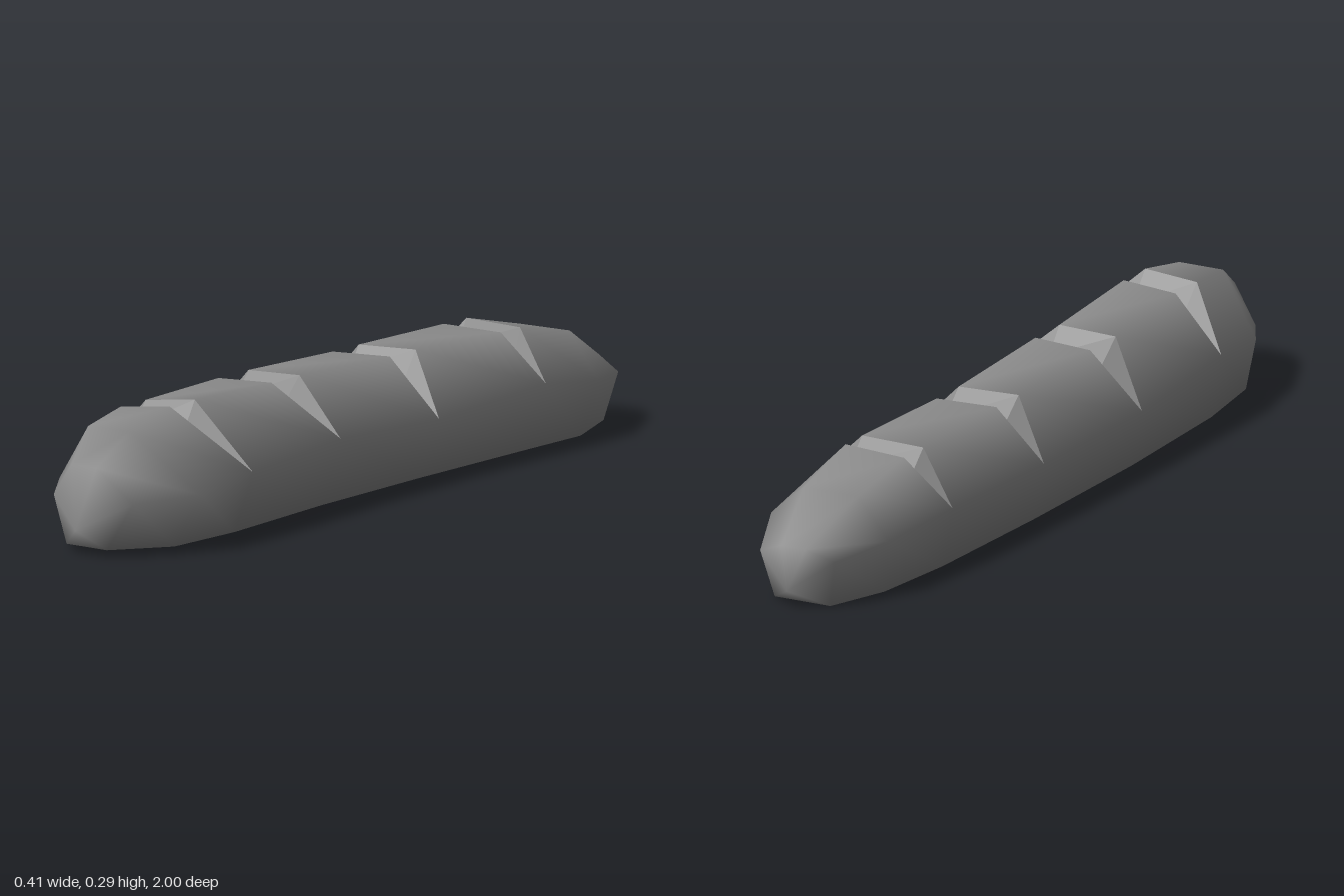
import * as THREE from 'three';
import { mergeVertices } from 'three/addons/utils/BufferGeometryUtils.js';

const crust = new THREE.MeshStandardMaterial({ color: 0x8c8c8c });
crust.name = 'crust grey';

// Six-sided section, ordered: bottom left, bottom right, right, top right, top left, left
// (left and right here as seen from the front)
const ring = (bl, br, r, tr, tl, l) => [bl, br, r, tr, tl, l];

// A scored section: the lower four corners are shared by the back lip, groove and front lip
function score({ xl, xr, zl, zr, yl, yr, base, tl, tr, back, groove, front, top, deep }) {
  const make = (z, y, dx) => ring(
    [xl + 0.025, base, zl], [xr - 0.05, base, zr], [xr, yr, zr],
    [tr + dx, y[1], z[1]], [tl + dx, y[0], z[0]], [xl, yl, zl]);
  return { back: make(back, top, 0), groove: make(groove, [deep, deep], 0), front: make(front, top, 0) };
}

const scores = [
  score({ xl: -0.197, xr: 0.15, zl: -0.565, zr: -0.56, yl: 0.14, yr: 0.155, base: 0.003, tl: -0.113, tr: 0.045,
    back: [-0.63, -0.61], groove: [-0.602, -0.59], front: [-0.546, -0.538], top: [0.26, 0.26], deep: 0.208 }),
  score({ xl: -0.206, xr: 0.15, zl: -0.18, zr: -0.16, yl: 0.135, yr: 0.14, base: 0.004, tl: -0.115, tr: 0.025,
    back: [-0.23, -0.247], groove: [-0.195, -0.208], front: [-0.132, -0.15], top: [0.264, 0.266], deep: 0.212 }),
  score({ xl: -0.207, xr: 0.165, zl: 0.248, zr: 0.23, yl: 0.135, yr: 0.16, base: 0.007, tl: -0.11, tr: 0.03,
    back: [0.19, 0.195], groove: [0.238, 0.255], front: [0.302, 0.3], top: [0.275, 0.28], deep: 0.224 }),
  score({ xl: -0.192, xr: 0.197, zl: 0.622, zr: 0.602, yl: 0.155, yr: 0.148, base: 0.01, tl: -0.08, tr: 0.045,
    back: [0.617, 0.608], groove: [0.66, 0.648], front: [0.71, 0.702], top: [0.28, 0.293], deep: 0.23 }),
];

// Rounded ends, each listed from back to front
const backEnd = [
  ring([-0.1, 0.003, -0.93], [0.04, 0.003, -0.93], [0.065, 0.11, -0.95],
    [0.0, 0.137, -0.97], [-0.06, 0.137, -0.97], [-0.12, 0.11, -0.945]),
  ring([-0.15, 0.002, -0.78], [0.1, 0.002, -0.76], [0.146, 0.13, -0.76],
    [0.035, 0.22, -0.81], [-0.1, 0.22, -0.81], [-0.178, 0.13, -0.81]),
];
const frontEnd = [
  ring([-0.14, 0.014, 0.82], [0.142, 0.012, 0.82], [0.205, 0.132, 0.81],
    [0.05, 0.263, 0.86], [-0.06, 0.263, 0.86], [-0.165, 0.13, 0.82]),
  ring([-0.05, 0.018, 0.955], [0.065, 0.018, 0.965], [0.128, 0.125, 0.955],
    [0.04, 0.198, 0.97], [-0.03, 0.198, 0.965], [-0.095, 0.12, 0.94]),
];

// Quads between two sections for the chosen sides
function band(out, a, b, sides) {
  for (const k of sides) {
    const n = (k + 1) % 6;
    out.push(...a[k], ...a[n], ...b[n], ...a[k], ...b[n], ...b[k]);
  }
}

function toGeometry(points) {
  const g = new THREE.BufferGeometry();
  g.setAttribute('position', new THREE.Float32BufferAttribute(points, 3));
  return g;
}

export function createModel() {
  const group = new THREE.Group();
  group.name = 'breadLoaf';
  const all = [0, 1, 2, 3, 4, 5];

  // Smooth crust, leaving out the scored openings
  const skin = [];
  const stops = [
    ...backEnd.map((r) => ({ back: r, front: r })),
    ...scores,
    ...frontEnd.map((r) => ({ back: r, front: r })),
  ];
  for (let i = 0; i + 1 < stops.length; i++) band(skin, stops[i].front, stops[i + 1].back, all);

  // Tips close the two ends
  const tipBack = [-0.03, 0.045, -1];
  const tipFront = [0.005, 0.06, 1];
  for (const k of all) {
    const n = (k + 1) % 6;
    skin.push(...tipBack, ...backEnd[0][n], ...backEnd[0][k]);
    skin.push(...tipFront, ...frontEnd[1][k], ...frontEnd[1][n]);
  }
  const skinGeo = mergeVertices(toGeometry(skin), 1e-4);
  skinGeo.computeVertexNormals();
  const body = new THREE.Mesh(skinGeo, crust);
  body.name = 'crust';
  group.add(body);

  // Sharp walls of each V-shaped score
  scores.forEach((s, i) => {
    const walls = [];
    band(walls, s.back, s.groove, [2, 3, 4]);
    band(walls, s.groove, s.front, [2, 3, 4]);
    const geo = toGeometry(walls);
    geo.computeVertexNormals();
    const cut = new THREE.Mesh(geo, crust);
    cut.name = `scoreCut${i + 1}`;
    group.add(cut);
  });
  return group;
}
